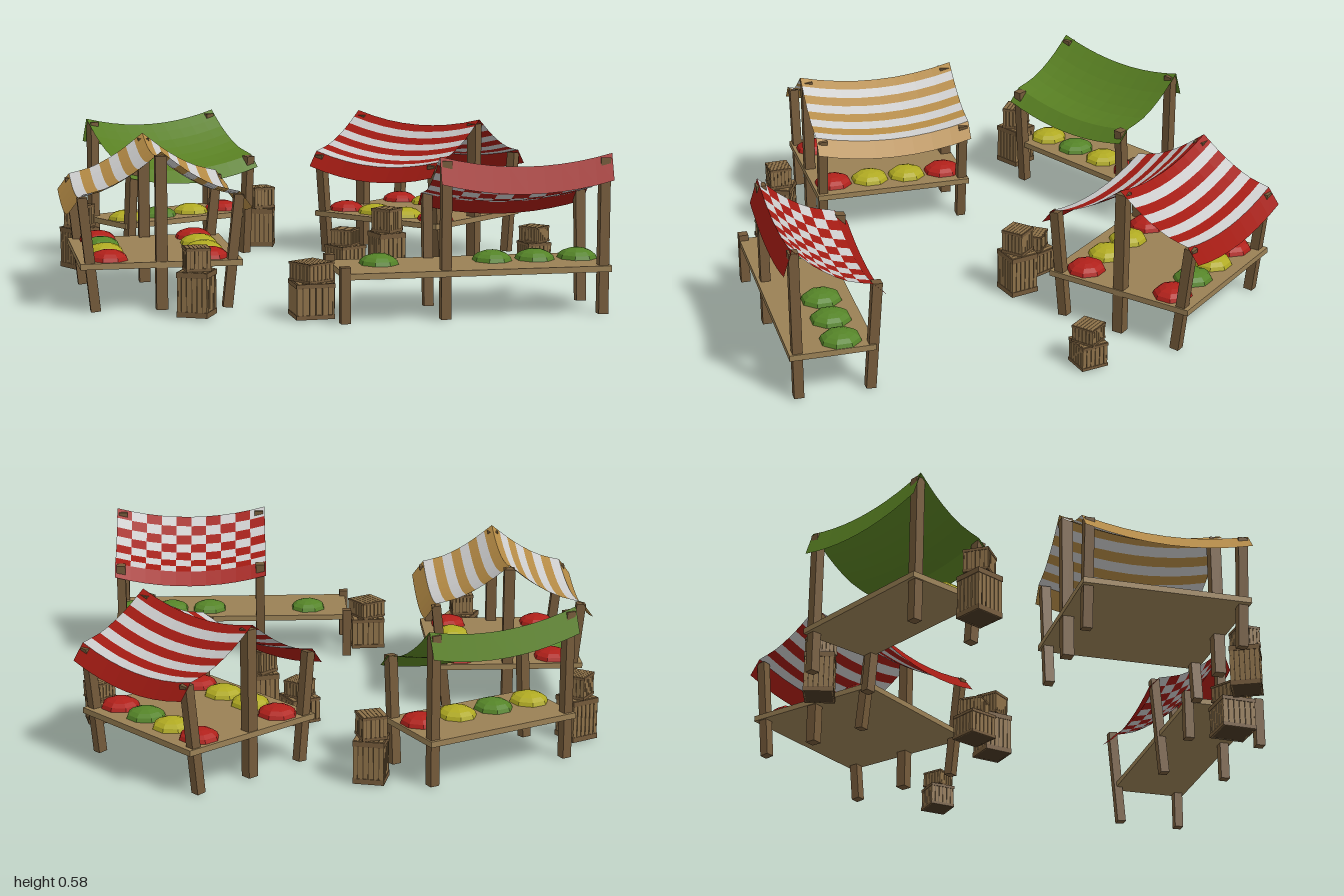
import * as THREE from 'three';

const mat = (color) => new THREE.MeshStandardMaterial({ color, flatShading: true, side: THREE.DoubleSide });
const M = {
  post: mat(0x745a3a), plank: mat(0x9a8055), slat: mat(0x8c7048), dark: mat(0x4a3924),
  white: mat(0xc4c4c4), red: mat(0xa31b13), yellow: mat(0xb48a45), green: mat(0x587f22),
  redFruit: mat(0xb0201a), yellowFruit: mat(0xb0aa22), greenFruit: mat(0x558428),
};
const UP = new THREE.Vector3(0, 1, 0);

function add(parent, name, geometry, material, x = 0, y = 0, z = 0) {
  const mesh = new THREE.Mesh(geometry, material);
  mesh.name = name;
  mesh.position.set(x, y, z);
  parent.add(mesh);
  return mesh;
}

// Square timber running between two points
function post(parent, name, a, b, w = 0.036) {
  const from = new THREE.Vector3(...a), to = new THREE.Vector3(...b);
  const dir = to.clone().sub(from);
  const mesh = add(parent, name, new THREE.BoxGeometry(w, dir.length(), w), M.post);
  mesh.position.copy(from).add(to).multiplyScalar(0.5);
  mesh.quaternion.setFromUnitVectors(UP, dir.normalize());
}

// Low faceted heap of produce on the counter
function heap(parent, kind, x, z) {
  const geo = new THREE.SphereGeometry(1, 8, 4, Math.PI / 8, Math.PI * 2, 0, Math.PI / 2);
  geo.scale(0.073, 0.038, 0.077);
  add(parent, kind + 'Heap', geo, M[kind], x, 0.177, z);
}

// Points along a sagging slope, from its lower or upper end, n strips
function slope(points, n) {
  const curve = new THREE.CatmullRomCurve3(points.map(([u, y]) => new THREE.Vector3(u, y, 0)));
  return curve.getSpacedPoints(n).map((p) => [p.x, p.y]);
}

// Cloth lofted along its length; each cell goes to the mesh of its colour
function canopy(parent, profile, colourOf, cols, place) {
  const half = 0.315, cells = {};
  const point = (i, t) => {
    const [u, y] = profile[i];
    return place(u, y - 0.042 * (1 - t * t), t * half);
  };
  for (let i = 0; i < profile.length - 1; i++) {
    for (let j = 0; j < cols; j++) {
      const t0 = (j / cols) * 2 - 1, t1 = ((j + 1) / cols) * 2 - 1;
      const a = point(i, t0), b = point(i + 1, t0), c = point(i + 1, t1), d = point(i, t1);
      (cells[colourOf(i, j)] ??= []).push(...a, ...b, ...c, ...a, ...c, ...d);
    }
  }
  for (const [colour, verts] of Object.entries(cells)) {
    const geo = new THREE.BufferGeometry();
    geo.setAttribute('position', new THREE.Float32BufferAttribute(verts, 3));
    geo.computeVertexNormals();
    add(parent, colour + 'CanopyCloth', geo, M[colour]);
  }
}

// Stall with a striped ridge canopy running along z
function gableStall(name, colour, x, z, angle) {
  const g = new THREE.Group();
  g.name = name;
  g.position.set(x, 0, z);
  g.rotation.y = angle;

  const side = slope([[0, 0.578], [0.1, 0.503], [0.2, 0.45], [0.285, 0.428]], 8);
  side.push([0.33, 0.368]);
  const profile = [...side.slice(1).reverse().map(([u, y]) => [-u, y]), ...side];
  canopy(g, profile, (i) => (i % 2 === (i < 9 ? 0 : 1) ? colour : 'white'), 8, (u, y, s) => [u, y, s]);

  add(g, 'counter', new THREE.BoxGeometry(0.59, 0.022, 0.63), M.plank, 0, 0.166, 0);
  for (const sz of [-1, 1]) {
    post(g, 'ridgePost', [0, 0, sz * 0.29], [0, 0.56, sz * 0.29], 0.042);
    for (const sx of [-1, 1]) post(g, 'cornerPost', [sx * 0.24, 0, sz * 0.29], [sx * 0.285, 0.415, sz * 0.29]);
  }
  const rows = [-0.23, -0.077, 0.077, 0.23];
  ['redFruit', 'yellowFruit', 'yellowFruit', 'redFruit'].forEach((k, i) => heap(g, k, 0.185, rows[i]));
  ['redFruit', 'greenFruit', 'yellowFruit', 'redFruit'].forEach((k, i) => heap(g, k, -0.185, rows[i]));
  return g;
}

// Stall with a single slope, high at -z; the counter may extend past the canopy
function leanStall(name, colourOf, x, z, angle, counterEnd, fruit) {
  const g = new THREE.Group();
  g.name = name;
  g.position.set(x, 0, z);
  g.rotation.y = angle;

  const profile = [[-0.183, 0.485],
    ...slope([[-0.152, 0.58], [-0.07, 0.505], [0.035, 0.44], [0.13, 0.415]], 7), [0.178, 0.365]];
  canopy(g, profile, colourOf, 10, (u, y, s) => [s, y, u]);

  const start = -0.315;
  add(g, 'counter', new THREE.BoxGeometry(counterEnd - start, 0.022, 0.31), M.plank,
    (start + counterEnd) / 2, 0.166, -0.02);
  for (const sx of [-1, 1]) {
    post(g, 'tallPost', [sx * 0.29, 0, -0.145], [sx * 0.29, 0.565, -0.145]);
    post(g, 'frontPost', [sx * 0.29, 0, 0.115], [sx * 0.29, 0.41, 0.147]);
  }
  if (counterEnd > 0.4) {
    for (const pz of [-0.16, 0.135]) post(g, 'endPost', [counterEnd - 0.005, 0, pz], [counterEnd - 0.005, 0.2, pz]);
  }
  fruit.forEach(([kind, fx]) => heap(g, kind, fx, 0.022));
  return g;
}

// Slatted crate with rims and a planked lid
function crate(w, h) {
  const g = new THREE.Group();
  g.name = 'crate';
  add(g, 'crateCore', new THREE.BoxGeometry(w * 0.9, h * 0.96, w * 0.9), M.dark, 0, h / 2, 0);
  const n = 6, step = w / n;
  for (let k = 0; k < 4; k++) {
    const face = new THREE.Group();
    face.name = 'crateSide';
    face.rotation.y = (k * Math.PI) / 2;
    for (let i = 0; i < n; i++) {
      add(face, 'sideSlat', new THREE.BoxGeometry(step * 0.82, h * 0.96, w * 0.04), M.slat,
        (i + 0.5) * step - w / 2, h / 2, w * 0.46);
    }
    for (const y of [0.07, 0.93]) {
      add(face, 'rim', new THREE.BoxGeometry(w, h * 0.12, w * 0.04), M.post, 0, h * y, w * 0.48);
    }
    g.add(face);
  }
  for (let i = 0; i < n; i++) {
    add(g, 'lidSlat', new THREE.BoxGeometry(step * 0.82, h * 0.04, w * 0.92), M.slat,
      (i + 0.5) * step * 0.92 - w * 0.46, h * 0.98, 0);
  }
  return g;
}

export function createModel() {
  const model = new THREE.Group();
  model.name = 'marketStalls';

  model.add(gableStall('yellowStall', 'yellow', -0.67, 0.277, 0));
  model.add(gableStall('redStall', 'red', 0.54, -0.53, Math.PI * (220 / 180)));
  model.add(leanStall('greenStall', () => 'green', -0.49, -0.612, 0.478, 0.315,
    [['yellowFruit', -0.24], ['greenFruit', -0.08], ['yellowFruit', 0.08], ['redFruit', 0.24]]));
  const checks = (i, j) => (i === 0 || i === 8 || (i + j) % 2 ? 'red' : 'white');
  model.add(leanStall('checkedStall', checks, 0.585, 0.795, Math.PI, 0.66,
    [['greenFruit', 0.495], ['greenFruit', 0.075], ['greenFruit', -0.085], ['greenFruit', -0.245]]));

  // Crate stacks: x, z, lower width and height, upper width and height, turn
  const stacks = [
    [-0.89, -0.395, 0.115, 0.165, 0.095, 0.09, 0.5],
    [-0.083, -0.81, 0.115, 0.165, 0.095, 0.09, -0.25],
    [0.155, -0.15, 0.12, 0.1, 0.09, 0.065, 0.45],
    [0.3, -0.04, 0.115, 0.165, 0.09, 0.095, 0.25],
    [0.93, -0.115, 0.105, 0.095, 0.09, 0.065, 0.2],
    [-0.562, 0.717, 0.115, 0.165, 0.09, 0.085, -0.45],
    [-0.163, 0.81, 0.14, 0.13, 0.115, 0.07, 0.05],
  ];
  for (const [x, z, w, h, w2, h2, turn] of stacks) {
    const stack = new THREE.Group();
    stack.name = 'crateStack';
    stack.position.set(x, 0, z);
    stack.rotation.y = turn;
    const upper = crate(w2, h2);
    upper.position.y = h;
    upper.rotation.y = 0.5;
    stack.add(crate(w, h), upper);
    model.add(stack);
  }
  return model;
}
